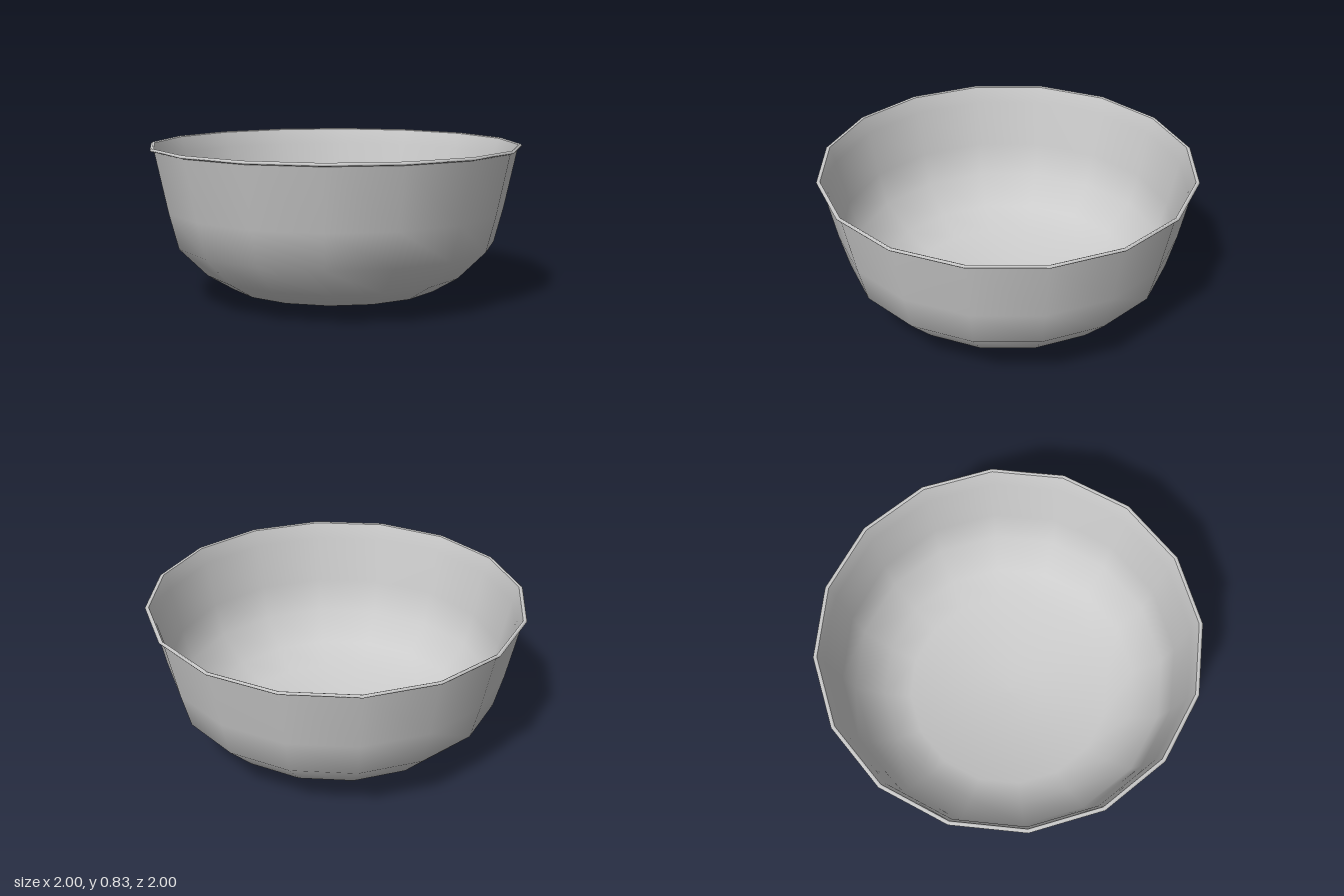
import * as THREE from 'three';

const SIDES = 16;

// Turns a profile of [radius, height] pairs into a smooth 16-sided surface
function turned(name, profile, material) {
  const points = profile.map(([r, y]) => new THREE.Vector2(r, y));
  const mesh = new THREE.Mesh(new THREE.LatheGeometry(points, SIDES), material);
  mesh.name = name;
  return mesh;
}

export function createModel() {
  const bowl = new THREE.Group();
  bowl.name = 'bowl';
  const material = new THREE.MeshStandardMaterial({ color: 0xcccccc });

  // Outside, from the small flat foot up to the lip
  bowl.add(turned('outerWall', [
    [0, 0], [0.19, 0.003], [0.57, 0.065], [0.71, 0.15],
    [0.86, 0.3], [0.91, 0.49], [0.978, 0.81],
  ], material));

  // Thin lip that overhangs the wall
  bowl.add(turned('rim', [
    [0.978, 0.81], [0.995, 0.815], [1, 0.822], [0.99, 0.83], [0.98, 0.825],
  ], material));

  // Inside, from the lip down to the middle of the floor
  bowl.add(turned('innerWall', [
    [0.98, 0.825], [0.95, 0.74], [0.895, 0.49], [0.845, 0.31],
    [0.7, 0.165], [0.56, 0.08], [0.19, 0.018], [0, 0.015],
  ], material));

  return bowl;
}
